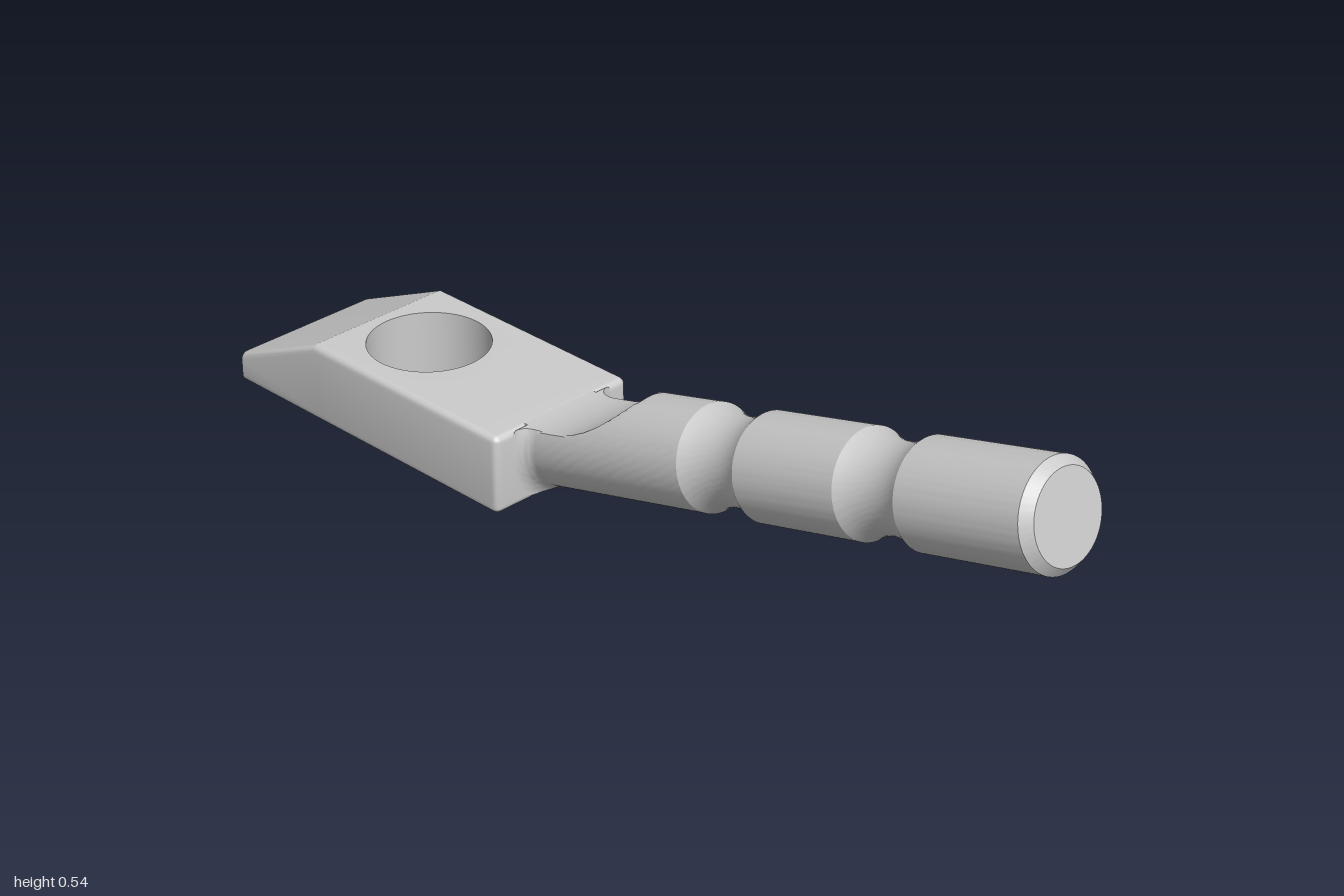
import * as THREE from 'three';
import { mergeGeometries, toCreasedNormals } from 'three/addons/utils/BufferGeometryUtils.js';

const material = new THREE.MeshStandardMaterial({ color: 0xcccccc });
const LEFT = -1, RIDGE = -0.77, RIGHT = -0.24; // block: nose tip, top of slope, rod end
const W = 0.174, H = 0.168, NOSE_H = 0.065, B = 0.015; // half width, heights, edge radius
const HOLE_X = -0.62, HOLE_R = 0.125;
const TILT = Math.PI / 12, R = 0.104, END_X = 0.977, END_Y = 0.442;

// Skin rows of [x, y, z] points; the outside is at (row direction) x (point direction)
function skin(rows, closed = false) {
  const n = rows[0].length, index = [];
  const last = closed ? rows.length : rows.length - 1;
  for (let i = 0; i < last; i++) {
    for (let j = 0; j < n - 1; j++) {
      const a = i * n + j, b = ((i + 1) % rows.length) * n + j;
      index.push(a, b, a + 1, b, b + 1, a + 1);
    }
  }
  const g = new THREE.BufferGeometry();
  g.setAttribute('position', new THREE.Float32BufferAttribute(rows.flat(2), 3));
  g.setIndex(index);
  return g;
}

// Join pieces and smooth everything below the crease angle
function solid(name, pieces, crease) {
  const bare = pieces.map((p) => {
    const g = p.index ? p.toNonIndexed() : p;
    g.deleteAttribute('uv');
    g.deleteAttribute('normal');
    return g;
  });
  const mesh = new THREE.Mesh(toCreasedNormals(mergeGeometries(bare), crease), material);
  mesh.name = name;
  return mesh;
}

// Flat rectangle with the round hole, facing up or down
function plate(x0, x1, y, facing) {
  const z = W - B;
  const s = new THREE.Shape();
  s.moveTo(x0, -z).lineTo(x1, -z).lineTo(x1, z).lineTo(x0, z).closePath();
  s.holes.push(new THREE.Path().absarc(HOLE_X, 0, HOLE_R, 0, Math.PI * 2, true));
  return new THREE.ShapeGeometry(s, 32).rotateX(-facing * Math.PI / 2).translate(0, y, 0);
}

function block() {
  const zi = W - B, xi = RIGHT - B, steps = 6;
  const topAt = (x) => Math.min(H, NOSE_H + (x - LEFT) * (H - NOSE_H) / (RIDGE - LEFT));
  // Rounded edge profile swept round the plan
  const row = (x, z, angle) => {
    const pts = [];
    const add = (out, y) => pts.push([x + Math.cos(angle) * out, y, z + Math.sin(angle) * out]);
    for (let k = 0; k <= steps; k++) {
      const a = k / steps * Math.PI / 2;
      add(B * Math.sin(a), topAt(x) - B + B * Math.cos(a));
    }
    for (let k = 0; k <= steps; k++) {
      const a = k / steps * Math.PI / 2;
      add(B * Math.cos(a), B - B * Math.sin(a));
    }
    return pts;
  };
  const q = Math.PI / 2;
  const rows = [row(LEFT, -zi, -q), row(RIDGE, -zi, -q)];
  for (let k = 0; k <= steps; k++) rows.push(row(xi, -zi, -q + q * k / steps));
  for (let k = 0; k <= steps; k++) rows.push(row(xi, zi, q * k / steps));
  rows.push(row(RIDGE, zi, q), row(LEFT, zi, q));

  const slope = skin([-zi, zi].map((z) => [[LEFT, NOSE_H, z], [RIDGE, H, z]]));
  const bore = new THREE.CylinderGeometry(HOLE_R, HOLE_R, H, 64, 1, true)
    .scale(-1, 1, 1).translate(HOLE_X, H / 2, 0);
  return solid('mountingBlock',
    [skin(rows, true), slope, plate(RIDGE, xi, H, 1), plate(LEFT, xi, 0, -1), bore], 0.35);
}

// Height of the concave scoop cut into the top of the rod
function scoop(x) {
  const r = 0.2875, u = x - RIGHT;
  if (u >= r) return Infinity;
  return H - 0.001 + (u > 0 ? r - Math.sqrt(r * r - u * u) : 0);
}

function rod() {
  const start = -1.291, half = 0.072, depth = 0.02;
  const grooves = [-0.762, -0.372];
  const arcR = (half * half + depth * depth) / (2 * depth);
  const profile = [];
  const firstGroove = grooves[0] - half;
  for (let k = 0; k < 36; k++) {
    profile.push(new THREE.Vector2(R, start + (firstGroove - start) * k / 36));
  }
  // Shallow round grooves
  for (const c of grooves) {
    for (let k = 0; k <= 12; k++) {
      const d = half * (k / 6 - 1);
      const cut = Math.sqrt(arcR * arcR - d * d) - (arcR - depth);
      profile.push(new THREE.Vector2(R - cut, c + d));
    }
  }
  // Chamfered end
  for (const [r, y] of [[R, -0.02], [0.087, 0], [0, 0]]) profile.push(new THREE.Vector2(r, y));
  const g = new THREE.LatheGeometry(profile, 96)
    .rotateZ(TILT - Math.PI / 2).translate(END_X, END_Y, 0);
  const p = g.attributes.position;
  for (let i = 0; i < p.count; i++) p.setY(i, Math.min(p.getY(i), scoop(p.getX(i))));
  return solid('groovedRod', [g], 0.4);
}

// Fillet where the rod meets the block
function fillet() {
  const f = 0.03, rows = [];
  for (let i = 0; i <= 8; i++) {
    const a = i / 8 * Math.PI / 2;
    const x = RIGHT + f * (1 - Math.cos(a)), r = R + f * (1 - Math.sin(a));
    const axisY = END_Y + (x - END_X) * Math.tan(TILT);
    const row = [];
    for (let k = 0; k <= 72; k++) {
      const t = k / 72 * Math.PI * 2;
      const y = axisY + r / Math.cos(TILT) * Math.sin(t);
      row.push([x, Math.min(Math.max(y, 0.008), scoop(x)), r * Math.cos(t)]);
    }
    rows.push(row);
  }
  return solid('neckFillet', [skin(rows)], 0.5);
}

export function createModel() {
  const model = new THREE.Group();
  model.name = 'rodWithMountingBlock';
  model.add(block(), rod(), fillet());
  return model;
}
